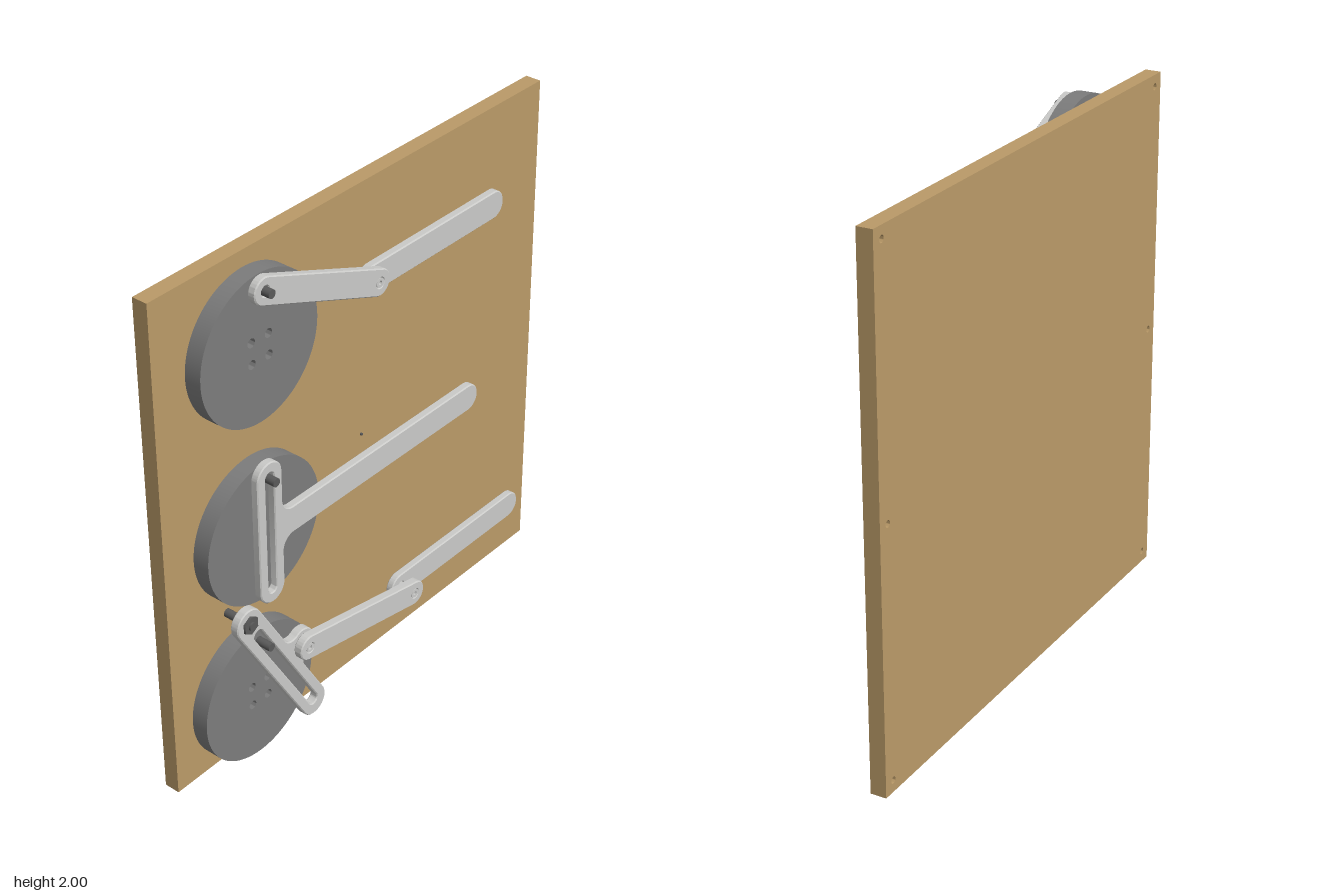
import * as THREE from 'three';
import { toCreasedNormals } from 'three/addons/utils/BufferGeometryUtils.js';

const mat = (name, color) => {
  const m = new THREE.MeshStandardMaterial({ color });
  m.name = name;
  return m;
};

export function createModel() {
  const wood = mat('wood', 0xba9a68);
  const discGrey = mat('discGrey', 0x7c7c7c);
  const linkGrey = mat('linkGrey', 0xcacac8);
  const steel = mat('steel', 0x5a5a5a);

  const model = new THREE.Group();
  model.name = 'mechanismBoard';
  const PI = Math.PI;

  // Extrude a shape between two z planes, with an optional small edge bevel
  function plate(parent, name, shape, z0, z1, material, bevel = 0) {
    const geo = new THREE.ExtrudeGeometry(shape, {
      depth: z1 - z0 - 2 * bevel, curveSegments: 20,
      bevelEnabled: bevel > 0, bevelThickness: bevel, bevelSize: bevel,
      bevelOffset: -bevel, bevelSegments: 1,
    });
    geo.translate(0, 0, z0 + bevel);
    const mesh = new THREE.Mesh(toCreasedNormals(geo, 0.5), material);
    mesh.name = name;
    parent.add(mesh);
    return mesh;
  }

  const circle = (Type, x, y, r) => new Type().absarc(x, y, r, 0, 2 * PI, false);

  // Bar with round ends along +x; optional side tab towards +y
  function bar(Type, x0, x1, h, tab) {
    const s = new Type();
    s.moveTo(x0, -h);
    s.lineTo(x1, -h);
    s.absarc(x1, 0, h, -PI / 2, PI / 2, false);
    if (tab) {
      const { at, reach, w, r } = tab;
      s.absarc(at + w + r, h + r, r, -PI / 2, -PI, true);
      s.absarc(at, reach, w, 0, PI, false);
      s.absarc(at - w - r, h + r, r, 0, -PI / 2, true);
    }
    s.lineTo(x0, h);
    s.absarc(x0, 0, h, PI / 2, 1.5 * PI, false);
    return s;
  }

  // Round pin along z
  function pin(parent, name, x, y, r, z0, z1, sides = 20, material = steel) {
    const geo = new THREE.CylinderGeometry(r, r, z1 - z0, sides).rotateX(PI / 2);
    const mesh = new THREE.Mesh(geo, material);
    mesh.position.set(x, y, (z0 + z1) / 2);
    mesh.name = name;
    parent.add(mesh);
  }

  // Hollow rivet joining two bars
  function rivet(parent, x, y, z0, z1) {
    const s = circle(THREE.Shape, x, y, 0.018);
    s.holes.push(circle(THREE.Path, x, y, 0.008));
    plate(parent, 'rivet', s, z0, z1, linkGrey);
  }

  // Straight link between two points, with a hole at chosen ends
  function link(parent, name, a, b, h, z0, z1, holes) {
    const len = Math.hypot(b[0] - a[0], b[1] - a[1]);
    const s = bar(THREE.Shape, 0, len, h);
    holes.forEach((end) => s.holes.push(circle(THREE.Path, end * len, 0, 0.018)));
    const mesh = plate(parent, name, s, z0, z1, linkGrey, 0.004);
    mesh.position.set(a[0], a[1], 0);
    mesh.rotation.z = Math.atan2(b[1] - a[1], b[0] - a[0]);
  }

  // Crank disc with four bolt holes
  const CX = -0.63;
  function disc(parent, y, z0, z1) {
    const s = new THREE.Shape().absarc(CX, y, 0.273, 0, 2 * PI, false);
    for (const dx of [-0.04, 0.04])
      for (const dy of [-0.04, 0.04])
        s.holes.push(circle(THREE.Path, CX + dx, y + dy, 0.017));
    const geo = new THREE.ExtrudeGeometry(s, { depth: z1 - z0, bevelEnabled: false, curveSegments: 64 });
    geo.translate(0, 0, z0);
    const mesh = new THREE.Mesh(toCreasedNormals(geo, 0.5), discGrey);
    mesh.name = 'crankDisc';
    parent.add(mesh);
  }

  const group = (name) => {
    const g = new THREE.Group();
    g.name = name;
    model.add(g);
    return g;
  };

  // Backing board: solid front layer, rear layer with blind screw holes
  const board = group('board');
  const rect = () => new THREE.Shape([
    new THREE.Vector2(-0.992, 0.01), new THREE.Vector2(0.992, 0.01),
    new THREE.Vector2(0.992, 2), new THREE.Vector2(-0.992, 2),
  ]);
  const rear = rect();
  for (const x of [-0.945, 0.945])
    for (const y of [0.055, 1.005, 1.955])
      rear.holes.push(circle(THREE.Path, x, y, 0.013));
  plate(board, 'boardFront', rect(), -0.08, -0.059, wood);
  plate(board, 'boardBack', rear, -0.12, -0.08, wood);
  pin(board, 'centreStud', 0, 1.005, 0.005, -0.06, -0.052, 10);

  // Top: slider and crank
  const top = group('sliderCrank');
  disc(top, 1.713, -0.003, 0.062);
  link(top, 'connectingRod', [CX, 1.935], [-0.075, 1.712], 0.05, 0.062, 0.093, [0, 1]);
  link(top, 'slider', [-0.075, 1.712], [0.582, 1.712], 0.053, 0.029, 0.06, [0]);
  rivet(top, -0.075, 1.712, 0.03, 0.092);
  pin(top, 'crankPin', CX, 1.935, 0.016, 0.05, 0.12);

  // Middle: slotted yoke with a straight arm
  const middle = group('slottedYoke');
  disc(middle, 0.995, -0.01, 0.055);
  const yoke = bar(THREE.Shape, 0, 0.452, 0.06, { at: 0.228, reach: 1.06, w: 0.053, r: 0.05 });
  yoke.holes.push(bar(THREE.Path, 0, 0.452, 0.02));
  const yokeMesh = plate(middle, 'yoke', yoke, 0.055, 0.086, linkGrey, 0.004);
  yokeMesh.position.set(CX, 1.225, 0);
  yokeMesh.rotation.z = -PI / 2;
  pin(middle, 'crankPin', CX, 1.22, 0.016, 0.04, 0.116);

  // Bottom: swinging slotted arm driving a slider through a rod
  const bottom = group('quickReturn');
  disc(bottom, 0.274, -0.058, 0.008);
  const swing = bar(THREE.Shape, 0, 0.636, 0.06, { at: 0.345, reach: 0.108, w: 0.055, r: 0.045 });
  swing.holes.push(bar(THREE.Path, 0.085, 0.625, 0.021));
  swing.holes.push(circle(THREE.Path, 0, 0, 0.017));
  const swingMesh = plate(bottom, 'swingArm', swing, 0.012, 0.047, linkGrey, 0.004);
  swingMesh.position.set(-0.71, 0.64, 0);
  swingMesh.rotation.z = Math.atan2(-0.55, 0.32);
  pin(bottom, 'pivotPost', -0.71, 0.64, 0.016, -0.06, 0.063);
  pin(bottom, 'pivotNut', -0.71, 0.64, 0.036, 0.047, 0.056, 6);
  pin(bottom, 'crankPin', CX, 0.502, 0.016, 0, 0.07);
  link(bottom, 'connectingRod', [-0.445, 0.39], [0.14, 0.277], 0.05, 0.049, 0.084, [0, 1]);
  link(bottom, 'slider', [0.14, 0.277], [0.802, 0.277], 0.053, -0.013, 0.016, [0]);
  rivet(bottom, -0.445, 0.39, 0.013, 0.083);
  rivet(bottom, 0.14, 0.277, -0.012, 0.083);

  return model;
}
